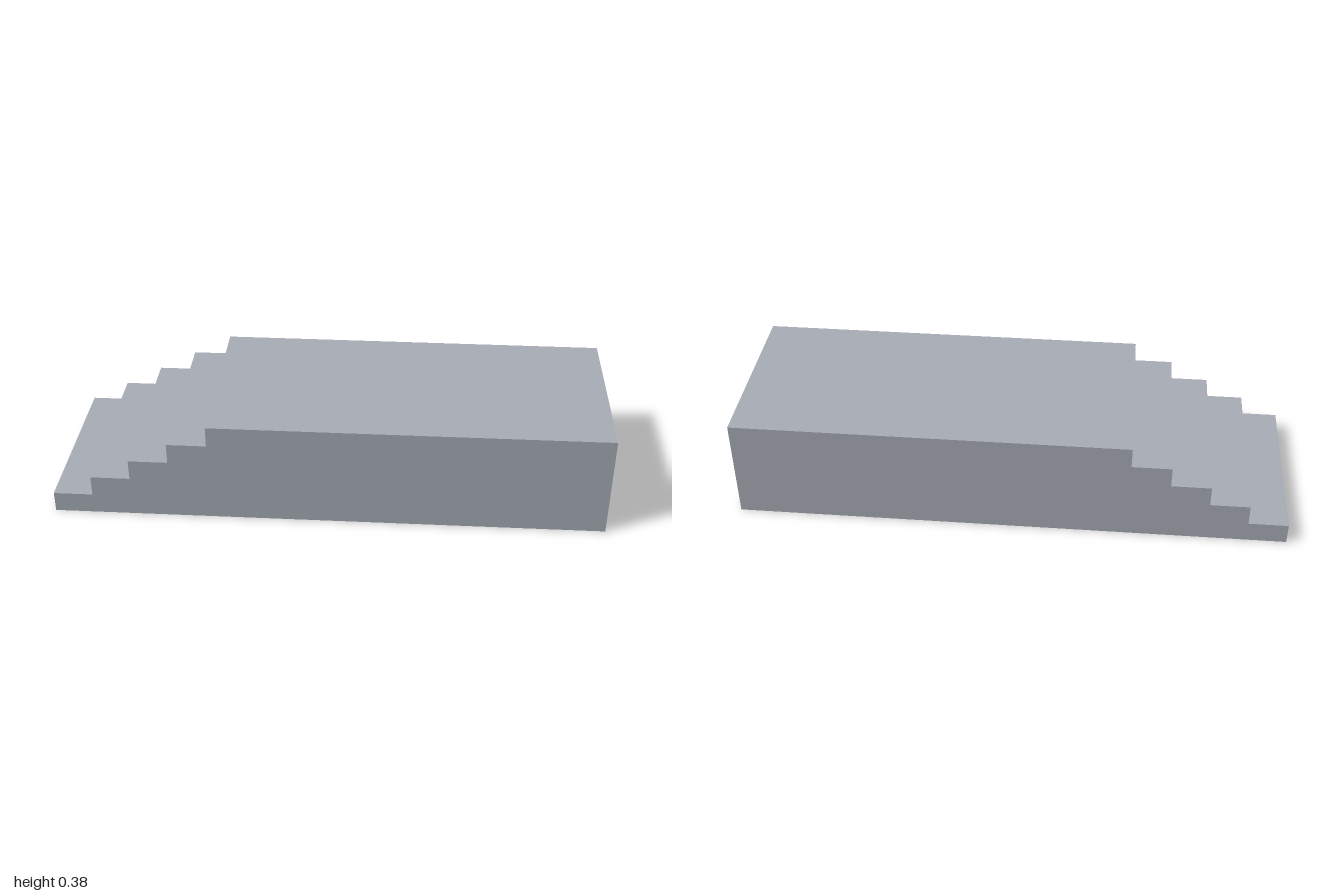
import * as THREE from 'three';

const STEPS = 5;
const HEIGHT = 0.381;
const DEPTH = 0.667;
const TREAD = 1 / 7;

export function createModel() {
  const group = new THREE.Group();
  group.name = 'steppedPlatform';

  const stone = new THREE.MeshStandardMaterial({ color: 0xa8adb7 });
  stone.name = 'blue grey stone';

  // Side profile: flat base, block end, then stairs climbing from -x
  const profile = new THREE.Shape();
  profile.moveTo(-1, 0);
  profile.lineTo(1, 0);
  profile.lineTo(1, HEIGHT);
  for (let i = STEPS - 1; i >= 0; i--) {
    const x = -1 + i * TREAD;
    profile.lineTo(x, (HEIGHT * (i + 1)) / STEPS);
    if (i > 0) profile.lineTo(x, (HEIGHT * i) / STEPS);
  }
  profile.closePath();

  // Solid platform and stairs in one piece
  const geometry = new THREE.ExtrudeGeometry(profile, { depth: DEPTH, bevelEnabled: false });
  geometry.translate(0, 0, -DEPTH / 2);
  const platform = new THREE.Mesh(geometry, stone);
  platform.name = 'platformWithStairs';
  group.add(platform);

  return group;
}
